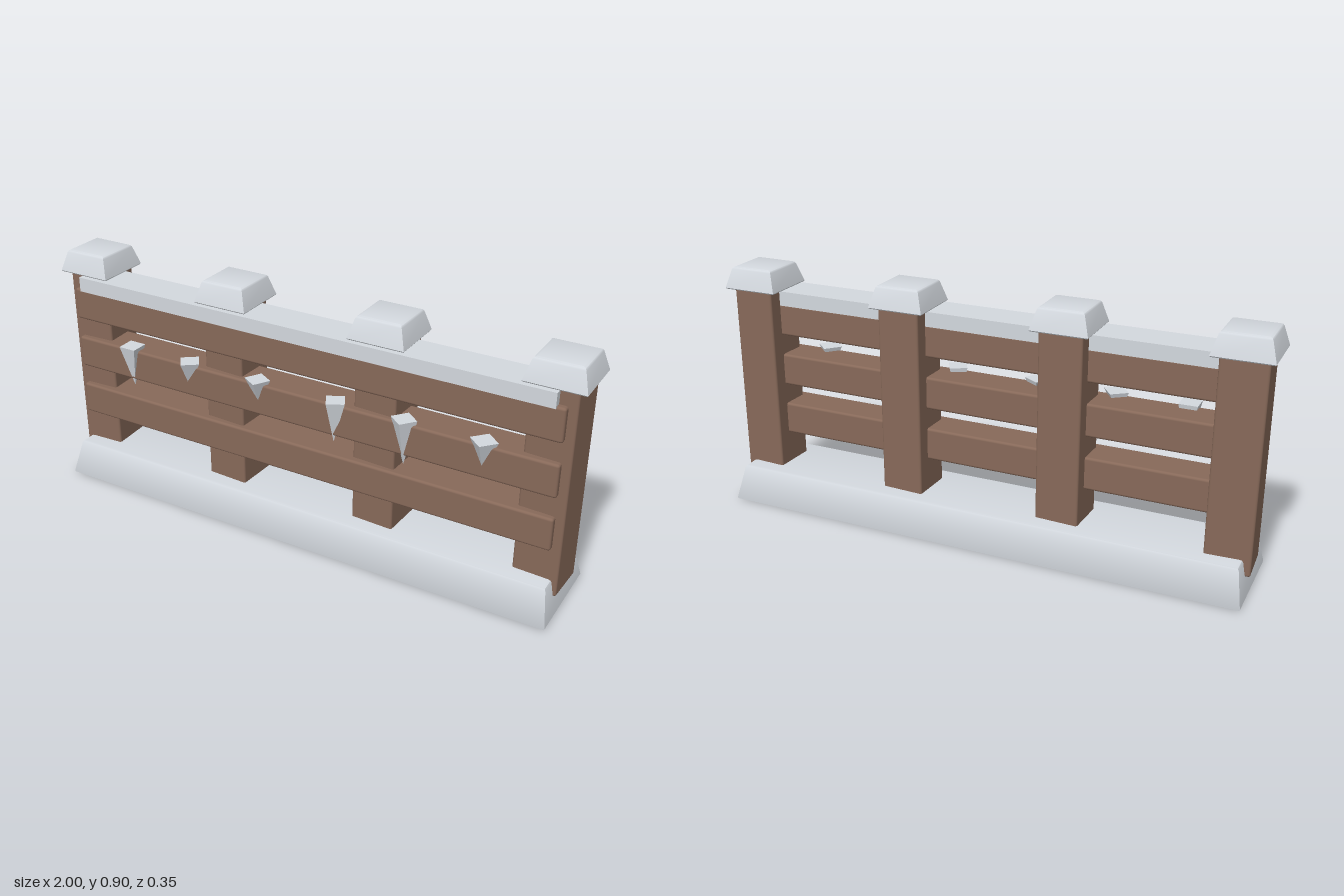
import * as THREE from 'three';
import { RoundedBoxGeometry } from 'three/addons/geometries/RoundedBoxGeometry.js';
import { toCreasedNormals } from 'three/addons/utils/BufferGeometryUtils.js';

// Stack of rectangular rings [y, halfX, halfZ], closed at both ends
function rectLoft(rings) {
  const pos = [], idx = [];
  for (const [y, hx, hz] of rings) {
    pos.push(-hx, y, hz, hx, y, hz, hx, y, -hz, -hx, y, -hz);
  }
  for (let r = 0; r < rings.length - 1; r++) {
    for (let i = 0; i < 4; i++) {
      const a = r * 4 + i, b = r * 4 + (i + 1) % 4;
      idx.push(a, b, b + 4, a, b + 4, a + 4);
    }
  }
  const t = (rings.length - 1) * 4;
  idx.push(0, 2, 1, 0, 3, 2, t, t + 1, t + 2, t, t + 2, t + 3);
  const g = new THREE.BufferGeometry();
  g.setAttribute('position', new THREE.Float32BufferAttribute(pos, 3));
  g.setIndex(idx);
  return toCreasedNormals(g, 0.7);
}

export function createModel() {
  const group = new THREE.Group();
  const wood = new THREE.MeshStandardMaterial({ name: 'wood', color: 0x876959 });
  const snow = new THREE.MeshStandardMaterial({ name: 'snow', color: 0xd3d8de });

  const add = (name, geometry, material, x, y, z) => {
    const mesh = new THREE.Mesh(geometry, material);
    mesh.name = name;
    mesh.position.set(x, y, z);
    group.add(mesh);
    return mesh;
  };

  // Snow bank along the ground
  add('snowBank', rectLoft([
    [0, 0.972, 0.175], [0.004, 0.975, 0.176], [0.122, 0.953, 0.139],
    [0.128, 0.949, 0.135], [0.13, 0.94, 0.127],
  ]), snow, 0, 0, 0);

  // Posts, each slightly turned, with a snow cap
  const postGeo = new RoundedBoxGeometry(0.159, 0.745, 0.159, 2, 0.008);
  const capGeo = rectLoft([
    [0.815, 0.1, 0.1], [0.819, 0.103, 0.103], [0.887, 0.083, 0.083],
    [0.893, 0.079, 0.079], [0.896, 0.072, 0.072],
  ]);
  [[-0.896, 0.05], [-0.303, -0.05], [0.298, -0.05], [0.896, -0.05]].forEach(([x, turn]) => {
    add('post', postGeo, wood, x, 0.4425, 0).rotation.y = turn;
    add('snowCap', capGeo, snow, Math.sign(x) * (Math.abs(x) > 0.5 ? 0.897 : 0.3), 0, 0);
  });

  // Rails
  const railGeo = new RoundedBoxGeometry(1.885, 0.12, 0.133, 2, 0.009);
  for (const y of [0.309, 0.505, 0.7]) add('rail', railGeo, wood, -0.002, y, 0.036);

  // Snow lying on the top rail
  add('railSnow', new THREE.BoxGeometry(1.825, 0.054, 0.137), snow, -0.003, 0.781, 0.038);

  // Icicles: x, length, radius, turn, sideways lean of the tip
  const icicles = [
    [-0.7, 0.16, 0.047, 0.785, 0],
    [-0.442, 0.095, 0.047, -0.15, 0.008],
    [-0.155, 0.092, 0.047, 0.25, -0.005],
    [0.155, 0.16, 0.045, -0.3, 0.005],
    [0.41, 0.17, 0.046, 0.1, -0.004],
    [0.69, 0.105, 0.048, 0.05, 0],
  ];
  for (const [x, length, radius, turn, lean] of icicles) {
    let geo = new THREE.ConeGeometry(radius, length, 4, 1);
    geo.rotateX(Math.PI);
    geo.rotateY(turn);
    geo.translate(0, -length / 2, 0);
    const p = geo.attributes.position;
    for (let i = 0; i < p.count; i++) p.setX(i, p.getX(i) - lean * p.getY(i) / length * -1);
    geo = toCreasedNormals(geo, 0.3);
    add('icicle', geo, snow, x, 0.58, 0.095);
  }

  return group;
}
